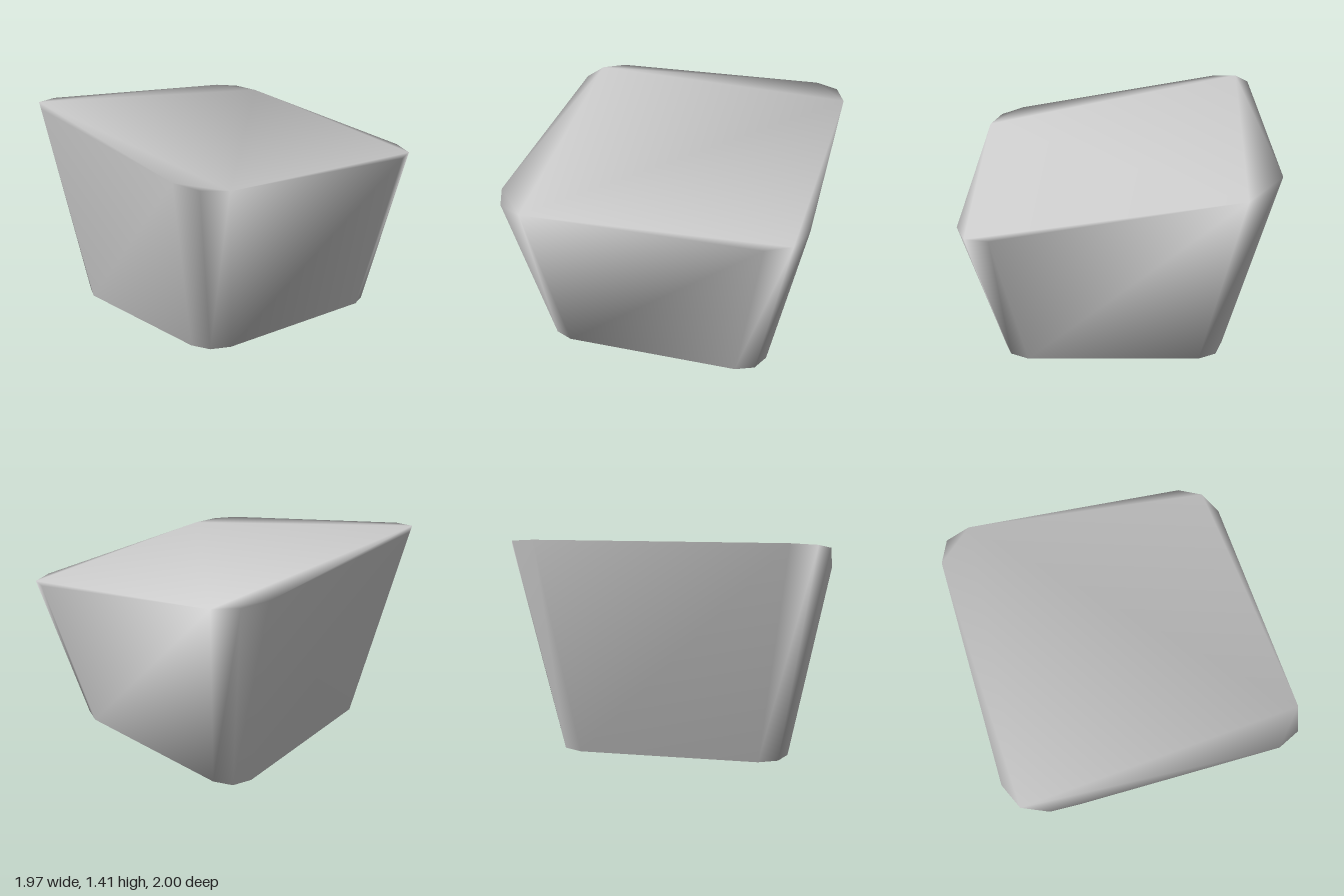
import * as THREE from 'three';

// Tapered block with chamfered corners, a sloping top and fully smooth shading
export function createModel() {
  const group = new THREE.Group();
  group.name = 'taperedBlock';
  const gray = new THREE.MeshStandardMaterial({ color: 0xcccccc });
  gray.name = 'light gray';

  // One chamfered corner, mirrored into a 12-sided outline
  const corner = [[0.985, 0.77], [0.915, 0.93], [0.755, 1]];
  const outline = [];
  for (const [sx, sz] of [[1, 1], [-1, 1], [-1, -1], [1, -1]]) {
    const points = sx * sz > 0 ? corner : [...corner].reverse();
    for (const [x, z] of points) outline.push([x * sx, z * sz]);
  }
  const n = outline.length;

  // Bottom ring is smaller and slightly offset; top ring follows the slope
  const positions = [];
  for (const [x, z] of outline) positions.push(x * 0.767 + 0.025, 0, z * 0.76);
  for (const [x, z] of outline) positions.push(x, 1.232 - 0.178 * x, z);

  const index = [];
  // Side walls
  for (let i = 0; i < n; i++) {
    const j = (i + 1) % n;
    index.push(i, n + i, j, j, n + i, n + j);
  }
  // Caps: cut every second corner, then every second of the rest
  const addCapTriangle = (a, b, c) => {
    index.push(a, b, c);
    index.push(n + c, n + b, n + a);
  };
  for (const step of [1, 2]) {
    for (let i = 0; i < n; i += step * 2) {
      addCapTriangle(i, i + step, (i + step * 2) % n);
    }
  }
  addCapTriangle(0, 4, 8);

  const geometry = new THREE.BufferGeometry();
  geometry.setAttribute('position', new THREE.Float32BufferAttribute(positions, 3));
  geometry.setIndex(index);
  geometry.computeVertexNormals();

  const body = new THREE.Mesh(geometry, gray);
  body.name = 'body';
  group.add(body);
  return group;
}
